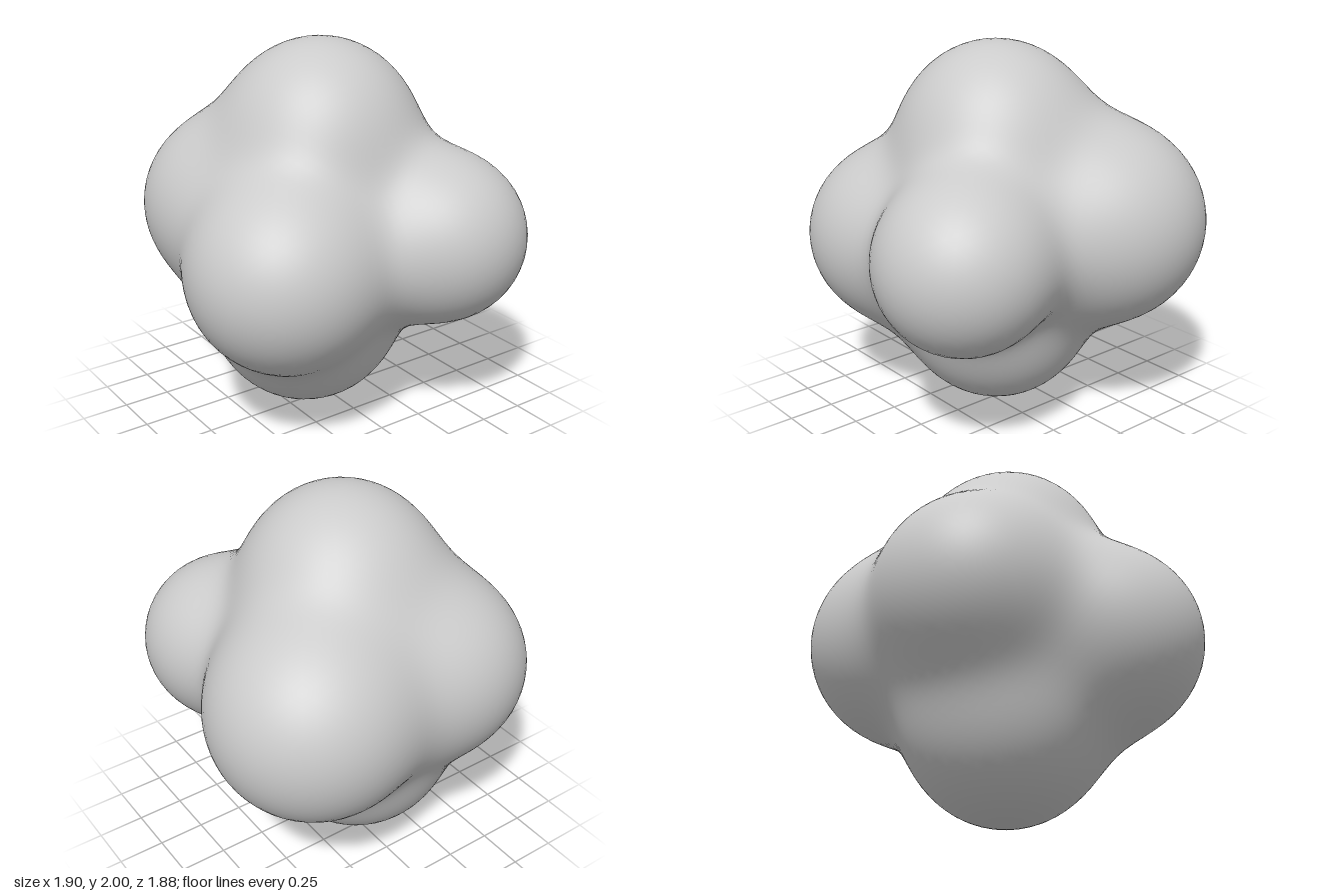
import * as THREE from 'three';
import { mergeVertices } from 'three/addons/utils/BufferGeometryUtils.js';

// Lobes of the blob: centre x, y, z and radius
const LOBES = [
  [-0.02, 1.495, -0.035, 0.5], // top
  [-0.08, 0.505, -0.095, 0.505], // bottom
  [0.37, 1.01, 0.497, 0.438], // front left
  [-0.464, 0.925, 0.287, 0.482], // front right
  [0.42, 1.065, -0.408, 0.53], // back left
  [-0.32, 1.08, -0.425, 0.478], // back right
];
const BLEND = 0.12;
const CENTRE = new THREE.Vector3(0, 1, -0.02);

// Smooth union of the lobes: negative inside, positive outside
function field(p) {
  let sum = 0;
  for (const [x, y, z, r] of LOBES) {
    sum += Math.exp((r - Math.hypot(p.x - x, p.y - y, p.z - z)) / BLEND);
  }
  return -BLEND * Math.log(sum);
}

// Walk inwards along a direction until the surface is met
function surfacePoint(dir) {
  const p = new THREE.Vector3();
  let t = 1.6;
  for (let i = 0; i < 80; i++) {
    const d = field(p.copy(CENTRE).addScaledVector(dir, t));
    if (Math.abs(d) < 1e-4) break;
    t -= d * 0.8;
  }
  return p;
}

export function createModel() {
  const group = new THREE.Group();
  group.name = 'lobedBlob';

  // Sphere with shared vertices, pushed onto the blended surface
  let geometry = new THREE.IcosahedronGeometry(1, 18);
  geometry.deleteAttribute('uv');
  geometry.deleteAttribute('normal');
  geometry = mergeVertices(geometry, 1e-4);
  const pos = geometry.attributes.position;
  const dir = new THREE.Vector3();
  for (let i = 0; i < pos.count; i++) {
    const p = surfacePoint(dir.fromBufferAttribute(pos, i).normalize());
    pos.setXYZ(i, p.x, p.y, p.z);
  }
  geometry.computeVertexNormals();

  const body = new THREE.Mesh(geometry, new THREE.MeshStandardMaterial({ color: 0xcccccc }));
  body.name = 'body';
  group.add(body);
  return group;
}
